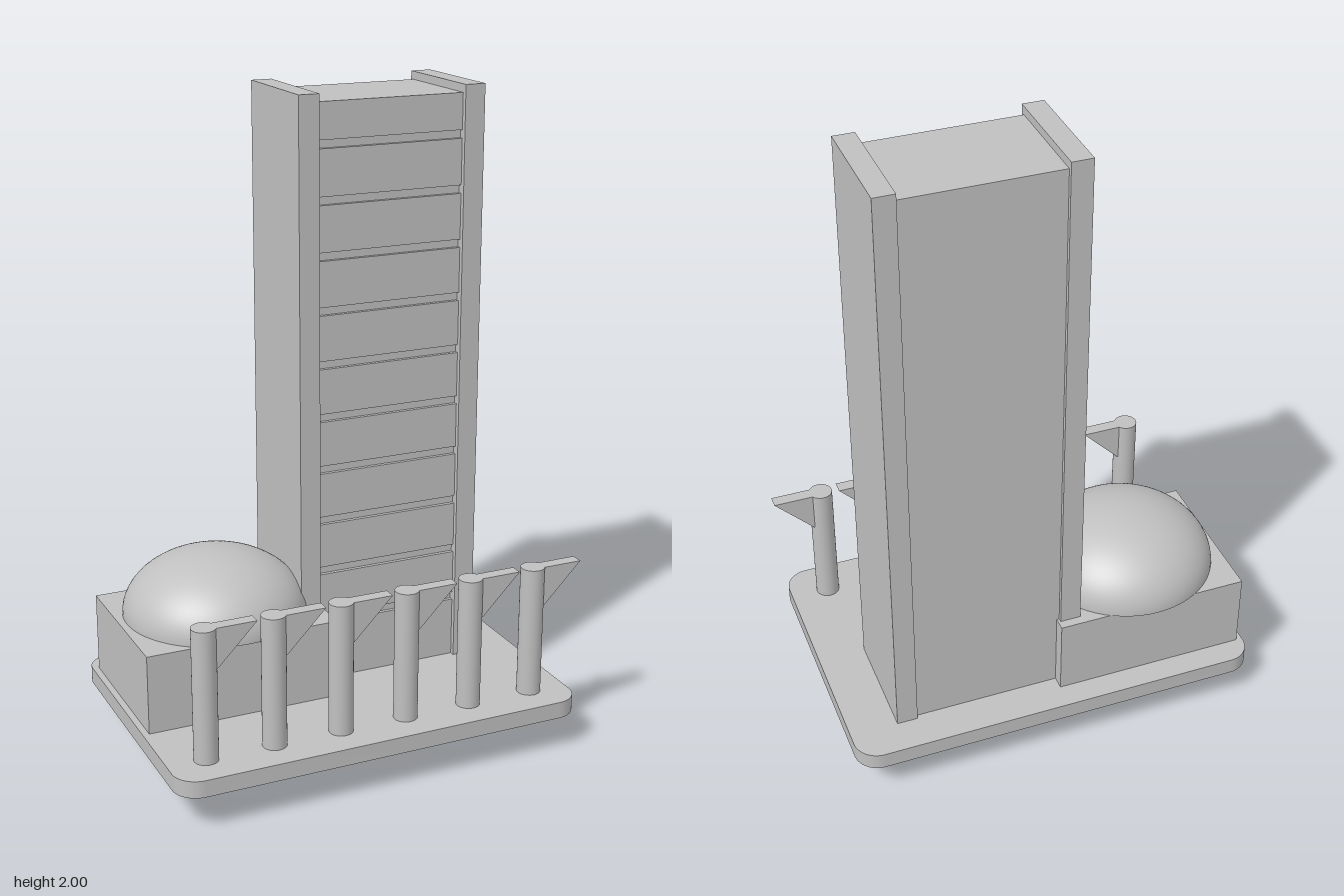
import * as THREE from 'three';
import { toCreasedNormals } from 'three/addons/utils/BufferGeometryUtils.js';

export function createModel() {
  const model = new THREE.Group();
  const grey = new THREE.MeshStandardMaterial({ color: 0xc0c0c0 });
  grey.name = 'light grey';

  const add = (name, geometry, parent = model) => {
    const mesh = new THREE.Mesh(geometry, grey);
    mesh.name = name;
    parent.add(mesh);
    return mesh;
  };
  // Box given by its minimum and maximum on each axis
  const box = (name, x0, x1, y0, y1, z0, z1, parent) =>
    add(name, new THREE.BoxGeometry(x1 - x0, y1 - y0, z1 - z0), parent)
      .position.set((x0 + x1) / 2, (y0 + y1) / 2, (z0 + z1) / 2);

  // Foot below the base plate
  box('foot', -0.265, 0.225, 0, 0.112, -0.245, 0.25);

  // Base plate with rounded corners
  const [x0, x1, z0, z1, r] = [-0.675, 0.635, -0.452, 0.448, 0.076];
  const outline = new THREE.Shape();
  outline.absarc(x1 - r, z1 - r, r, 0, Math.PI / 2);
  outline.absarc(x0 + r, z1 - r, r, Math.PI / 2, Math.PI);
  outline.absarc(x0 + r, z0 + r, r, Math.PI, Math.PI * 1.5);
  outline.absarc(x1 - r, z0 + r, r, Math.PI * 1.5, Math.PI * 2);
  const plate = new THREE.ExtrudeGeometry(outline, { depth: 0.053, bevelEnabled: false, curveSegments: 12 });
  plate.rotateX(Math.PI / 2).translate(0, 0.165, 0);
  add('basePlate', toCreasedNormals(plate, 0.6));

  // Tower: two side walls and a core with grooves across its front
  const tower = new THREE.Group();
  tower.name = 'tower';
  model.add(tower);
  box('rightWall', -0.115, -0.05, 0.165, 2, -0.343, 0.012, tower);
  box('leftWall', 0.42, 0.485, 0.165, 2, -0.343, 0.012, tower);

  const [back, front, depth] = [-0.33, -0.004, 0.012];
  const profile = new THREE.Shape().moveTo(back, 0.165).lineTo(front, 0.165);
  for (let i = 0; i < 10; i++) {
    const y = 0.355 + i * 0.165;
    profile.lineTo(front, y).lineTo(front - depth, y);
    profile.lineTo(front - depth, y + 0.025).lineTo(front, y + 0.025);
  }
  profile.lineTo(front, 1.975).lineTo(back, 1.975).closePath();
  const core = new THREE.ExtrudeGeometry(profile, { depth: 0.47, bevelEnabled: false });
  core.rotateY(-Math.PI / 2).translate(0.42, 0, 0);
  add('groovedCore', core, tower);

  // Hall with a flattened dome that overhangs at the front and back
  const hall = new THREE.Group();
  hall.name = 'hall';
  model.add(hall);
  box('hallBlock', -0.655, -0.042, 0.165, 0.415, -0.372, 0.12, hall);
  const dome = add('dome', new THREE.SphereGeometry(0.286, 64, 24, 0, Math.PI * 2, 0, Math.PI / 2), hall);
  dome.scale.y = 0.195 / 0.286;
  dome.position.set(-0.348, 0.415, -0.125);
  const underside = add('domeUnderside', new THREE.CircleGeometry(0.286, 64), hall);
  underside.rotation.x = Math.PI / 2;
  underside.position.set(-0.348, 0.4149, -0.125);

  // Row of round columns, each with a tapered bracket on its left
  const bracketShape = new THREE.Shape()
    .moveTo(0, 0.455).lineTo(0.034, 0.455).lineTo(0.157, 0.58).lineTo(0, 0.58).closePath();
  const bracket = new THREE.ExtrudeGeometry(bracketShape, { depth: 0.04, bevelEnabled: false });
  const shaft = new THREE.CylinderGeometry(0.037, 0.037, 0.415, 32);
  for (let i = 0; i < 6; i++) {
    const column = new THREE.Group();
    column.name = 'column' + (i + 1);
    column.position.set(-0.555 + i * 0.2136, 0, 0.333);
    add('shaft', shaft, column).position.y = 0.3725;
    add('bracket', bracket, column).position.z = -0.02;
    model.add(column);
  }
  return model;
}
